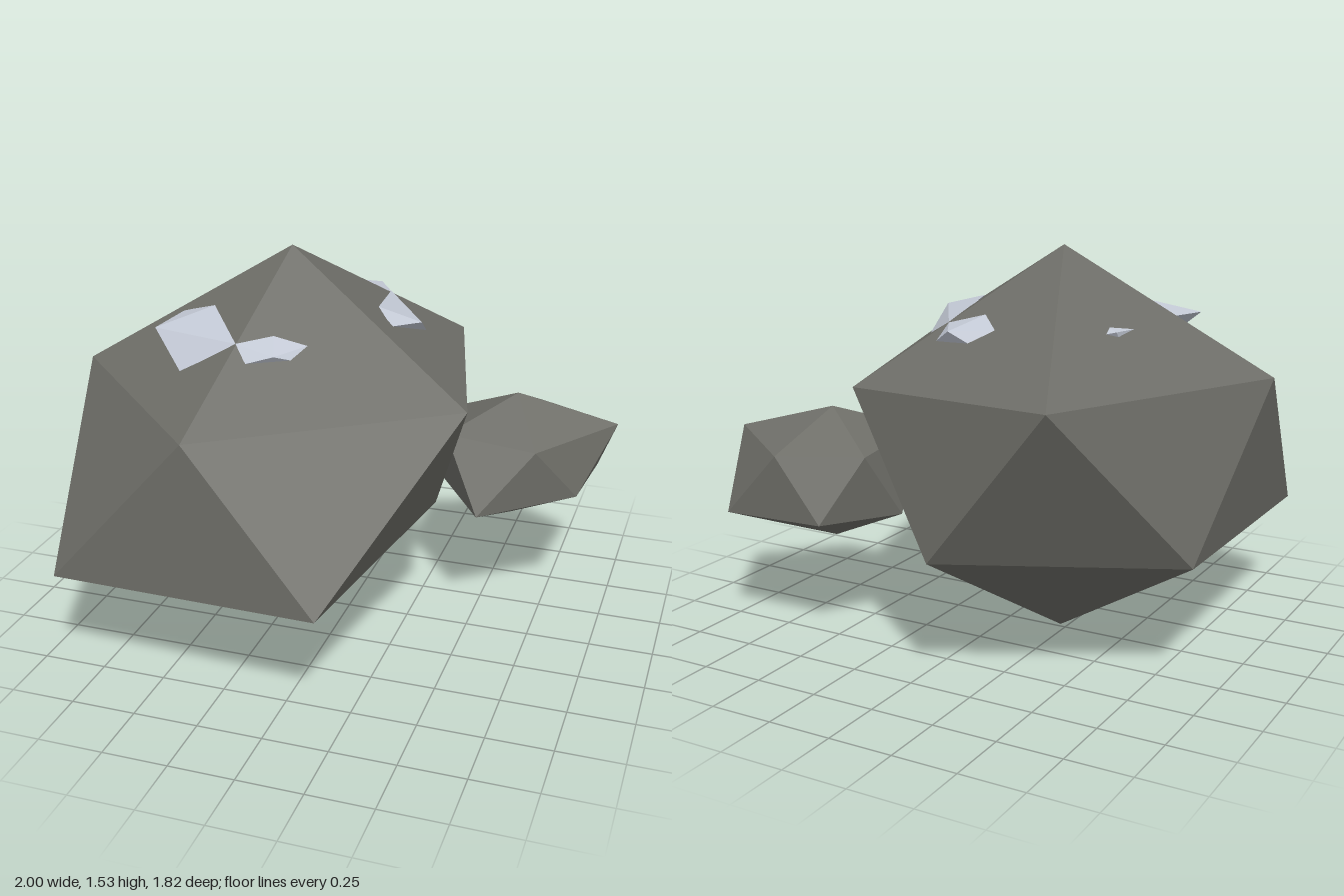
import * as THREE from 'three';

// Flat-shaded mesh from a list of triangles, each three [x, y, z] corners
function facetMesh(name, triangles, material) {
  const geometry = new THREE.BufferGeometry();
  geometry.setAttribute('position', new THREE.Float32BufferAttribute(triangles.flat(2), 3));
  geometry.computeVertexNormals();
  const mesh = new THREE.Mesh(geometry, material);
  mesh.name = name;
  return mesh;
}

// Uneven icosahedron: two poles and two staggered rings of five corners
function boulder(name, top, upper, lower, bottom, material) {
  const triangles = [];
  for (let i = 0; i < 5; i++) {
    const j = (i + 1) % 5;
    triangles.push(
      [top, upper[j], upper[i]],
      [upper[i], upper[j], lower[i]],
      [lower[i], upper[j], lower[j]],
      [lower[i], lower[j], bottom]
    );
  }
  return facetMesh(name, triangles, material);
}

// Chip of frost: a raised tip joined to a loop of points on the rock face
function chip(name, tip, loop, material) {
  const triangles = loop.map((p, i) => [tip, loop[(i + 1) % loop.length], p]);
  return facetMesh(name, triangles, material);
}

export function createModel() {
  const group = new THREE.Group();
  group.name = 'rocks';
  const stone = new THREE.MeshStandardMaterial({ color: 0x6e6e68 });
  const frost = new THREE.MeshStandardMaterial({ color: 0xc4cad6 });
  stone.name = 'stone';
  frost.name = 'frost';
  frost.side = THREE.DoubleSide;
  stone.flatShading = frost.flatShading = true;

  // Large rock
  group.add(boulder('largeRock', [-0.22, 1.53, 0.02],
    [[0.58, 1.11, 0.46], [-0.33, 1.03, 0.86], [-1, 1.06, 0.21], [-0.63, 1.11, -0.91], [0.3, 1.05, -0.64]],
    [[0.17, 0.45, 0.91], [-0.88, 0.42, 0.84], [-0.93, 0.48, -0.37], [-0.12, 0.5, -0.82], [0.36, 0.53, 0]],
    [-0.22, 0, 0.02], stone));

  // Small rock leaning into its side
  group.add(boulder('smallRock', [0.6, 0.89, -0.36],
    [[0.73, 0.75, -0.09], [0.37, 0.78, -0.1], [0.34, 0.75, -0.52], [0.65, 0.75, -0.67], [1, 0.78, -0.42]],
    [[0.53, 0.5, 0.03], [0.29, 0.49, -0.35], [0.46, 0.5, -0.66], [0.9, 0.49, -0.66], [0.88, 0.53, -0.22]],
    [0.6, 0.36, -0.36], stone));

  // Frost chips around the crown
  const chips = [
    ['frontRightFrost', [-0.65, 1.26, 0.35],
      [[-0.62, 1.27, 0.15], [-0.47, 1.32, 0.2], [-0.28, 1.27, 0.46], [-0.49, 1.15, 0.49]]],
    ['frontFrost', [-0.12, 1.25, 0.5],
      [[-0.28, 1.27, 0.46], [-0.16, 1.29, 0.39], [-0.03, 1.266, 0.39], [-0.07, 1.23, 0.46], [-0.22, 1.22, 0.52]]],
    ['leftFrost', [0.29, 1.27, 0.01],
      [[0.06, 1.267, -0.36], [0.26, 1.18, -0.17], [0.2, 1.275, 0.11], [0.12, 1.315, 0.01]]],
    ['backFrost', [-0.02, 1.26, -0.5],
      [[-0.18, 1.268, -0.44], [-0.1, 1.22, -0.49], [0.06, 1.21, -0.45], [0.06, 1.265, -0.36], [-0.09, 1.305, -0.35]]],
    ['backRightFrost', [-0.58, 1.27, -0.28],
      [[-0.55, 1.264, -0.3], [-0.54, 1.28, -0.25], [-0.59, 1.263, -0.15], [-0.58, 1.247, -0.26]]],
  ];
  for (const [name, tip, loop] of chips) group.add(chip(name, tip, loop, frost));
  return group;
}
